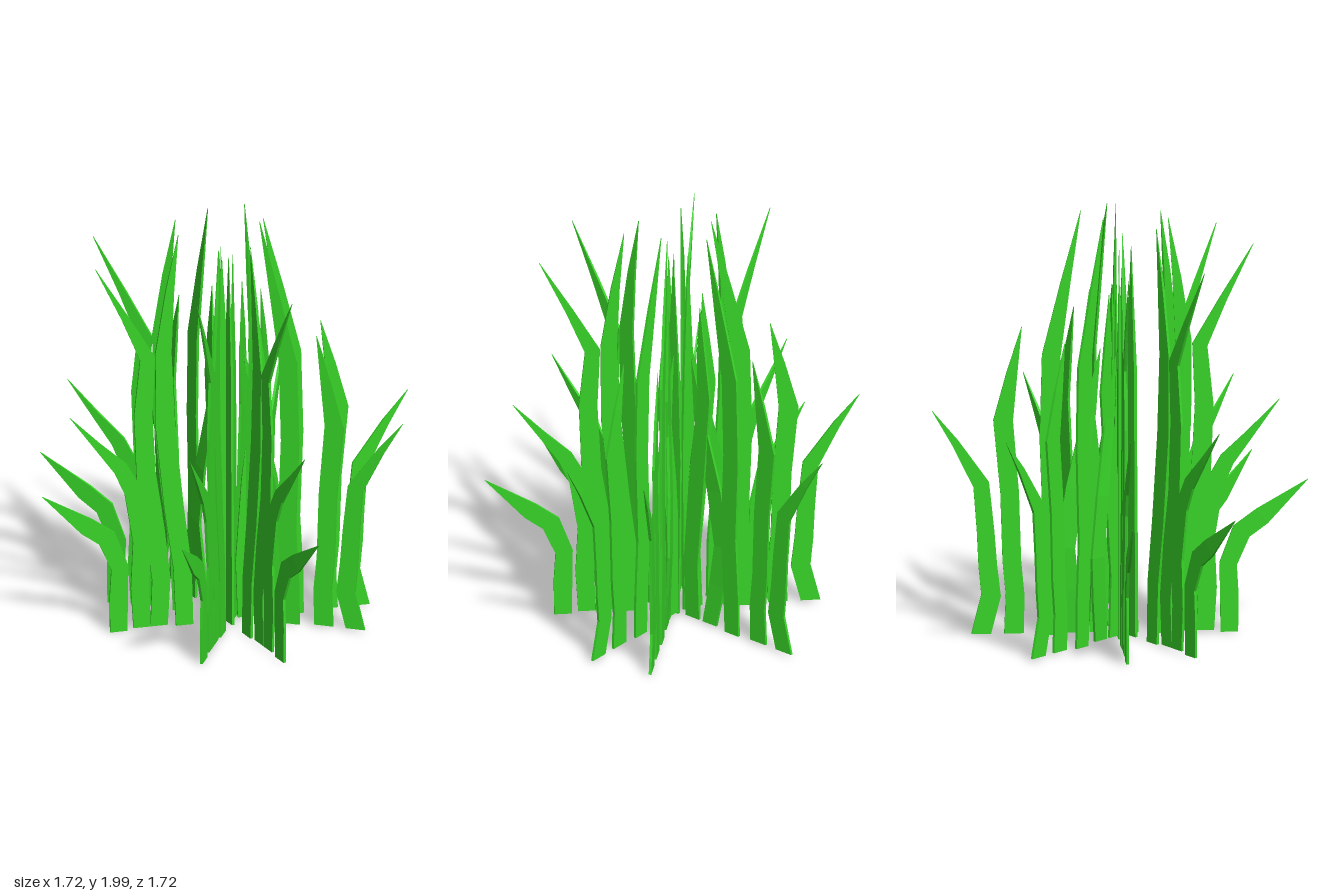
import * as THREE from 'three';

// Each blade: points [x, y, width, z offset] from root to tip, lying in one thin fan
const BLADES = {
  outerLeftBlade: [[-0.5, 0.01, 0.08], [-0.5, 0.18, 0.085], [-0.495, 0.33, 0.08], [-0.555, 0.48, 0.09], [-0.65, 0.55, 0.085], [-0.86, 0.72, 0]],
  leftHookBlade: [[-0.39, 0.02, 0.08], [-0.4, 0.22, 0.085], [-0.39, 0.45, 0.085], [-0.43, 0.7, 0.085], [-0.49, 0.82, 0.07], [-0.6, 0.945, 0.035], [-0.73, 1.1, 0]],
  leftTallBlade: [[-0.31, 0.02, 0.08], [-0.3, 0.25, 0.085], [-0.33, 0.5, 0.09], [-0.37, 0.75, 0.09], [-0.385, 1.08, 0.085], [-0.365, 1.36, 0.07], [-0.47, 1.57, 0.035], [-0.61, 1.83, 0]],
  innerLeftBlade: [[-0.19, 0.01, 0.08], [-0.2, 0.3, 0.085], [-0.24, 0.6, 0.09], [-0.28, 1.0, 0.09], [-0.29, 1.38, 0.075], [-0.26, 1.68, 0.04], [-0.22, 1.96, 0]],
  centreBlade: [[-0.02, 0.01, 0.075], [-0.015, 0.35, 0.08], [-0.01, 0.8, 0.08], [-0.015, 1.25, 0.065], [-0.015, 1.83, 0]],
  innerRightBlade: [[0.1, 0.02, 0.08], [0.09, 0.3, 0.08], [0.12, 0.7, 0.085], [0.165, 1.18, 0.07], [0.15, 1.4, 0.045], [0.14, 1.63, 0]],
  curledBlade: [[0.2, 0.02, 0.08, 0], [0.23, 0.22, 0.085, -0.015], [0.25, 0.42, 0.085, -0.025], [0.21, 0.7, 0.08, -0.02], [0.14, 1.05, 0.06, 0], [0.09, 1.35, 0, 0]],
  rightTallBlade: [[0.33, 0.01, 0.08], [0.325, 0.22, 0.085], [0.31, 0.5, 0.085], [0.325, 0.92, 0.085], [0.315, 1.32, 0.085], [0.25, 1.66, 0.045], [0.18, 2.0, 0]],
  rightBlade: [[0.485, 0.02, 0.09], [0.48, 0.2, 0.085], [0.495, 0.36, 0.085], [0.505, 0.68, 0.085], [0.535, 1.02, 0.09], [0.495, 1.24, 0.05], [0.45, 1.46, 0]],
  outerRightBlade: [[0.635, 0.02, 0.09], [0.59, 0.2, 0.09], [0.605, 0.34, 0.085], [0.615, 0.5, 0.08], [0.635, 0.72, 0.075], [0.755, 0.92, 0.035], [0.86, 1.07, 0]],
};

// Four copies of the fan crossing near the centre: [name, degrees, x, z]
const FANS = [
  ['sidewaysFan', 0, 0, -0.02],
  ['obliqueFan', 30, 0.03, 0.03],
  ['lengthwiseFan', 90, 0.06, -0.01],
  ['diagonalFan', 135, 0.04, 0.03],
];

// Thin rectangular strip that follows the points and narrows to its tip
function bladeGeometry(points) {
  const rings = points.map(([x, y, w, z = 0], i) => {
    const a = points[Math.max(i - 1, 0)];
    const b = points[Math.min(i + 1, points.length - 1)];
    // across: in-plane perpendicular to the path, level at the root
    const across = new THREE.Vector2(b[1] - a[1], a[0] - b[0]).normalize();
    if (i === 0) across.set(1, 0);
    across.multiplyScalar(Math.max(w, 0.002) / 2);
    const t = w > 0 ? 0.006 : 0.001;
    return [[-1, t], [1, t], [1, -t], [-1, -t]].map(
      ([s, d]) => [x + s * across.x, y + s * across.y, z + d]);
  });
  const position = [];
  const quad = (a, b, c, d) => [a, b, c, a, c, d].forEach((p) => position.push(...p));
  for (let i = 0; i < rings.length - 1; i++) {
    for (let j = 0; j < 4; j++) {
      const k = (j + 1) % 4;
      quad(rings[i][j], rings[i][k], rings[i + 1][k], rings[i + 1][j]);
    }
  }
  // root and tip caps
  const root = rings[0], tip = rings[rings.length - 1];
  quad(root[0], root[3], root[2], root[1]);
  quad(tip[0], tip[1], tip[2], tip[3]);
  const geometry = new THREE.BufferGeometry();
  geometry.setAttribute('position', new THREE.Float32BufferAttribute(position, 3));
  geometry.computeVertexNormals();
  return geometry;
}

export function createModel() {
  const model = new THREE.Group();
  model.name = 'grassClump';
  const green = new THREE.MeshStandardMaterial({ color: 0x38d428, flatShading: true });
  const geometries = Object.entries(BLADES).map(([name, points]) => [name, bladeGeometry(points)]);
  for (const [fanName, degrees, x, z] of FANS) {
    const fan = new THREE.Group();
    fan.name = fanName;
    for (const [name, geometry] of geometries) {
      const blade = new THREE.Mesh(geometry, green);
      blade.name = name;
      fan.add(blade);
    }
    fan.rotation.y = THREE.MathUtils.degToRad(degrees);
    fan.position.set(x, -0.01, z);
    model.add(fan);
  }
  return model;
}
